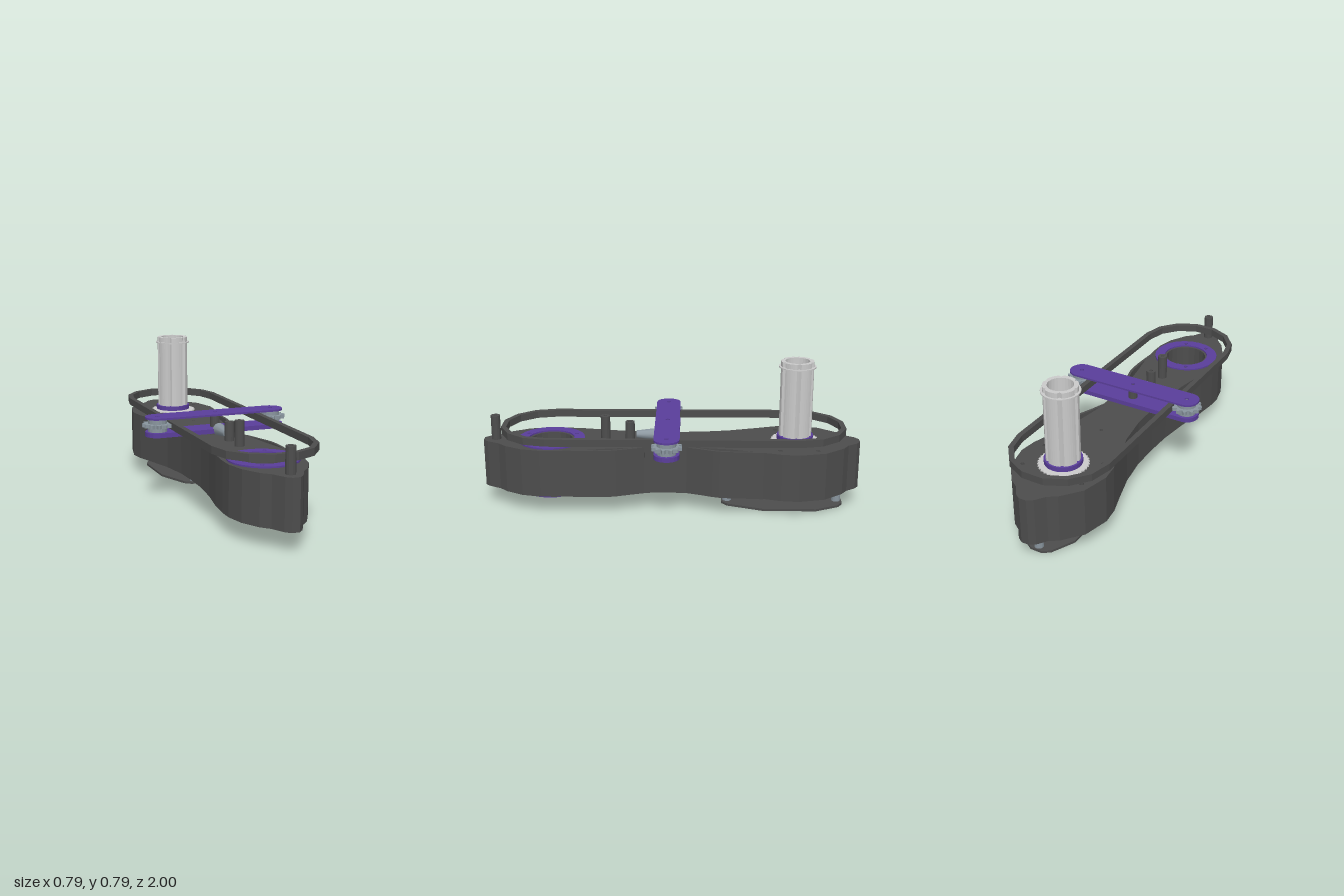
import * as THREE from 'three';

const mat = (name, color) => Object.assign(new THREE.MeshStandardMaterial({ color }), { name });

export function createModel() {
  const dark = mat('charcoal', 0x4d4d4d);
  const purple = mat('purple', 0x5a3e9b);
  const light = mat('light grey', 0xcbcbcb);
  const steel = mat('steel', 0x89959e);
  const model = new THREE.Group();
  const ZT = -0.655, ZR = 0.64, ZB = 0.02; // tube, ring and crossbar centres

  const add = (name, geo, material) => {
    const m = new THREE.Mesh(geo, material);
    m.name = name;
    model.add(m);
    return m;
  };
  const poly = pts => new THREE.Shape(pts.map(p => new THREE.Vector2(p[0], p[1])));
  const mirrored = half => poly([...half, ...half.map(p => [-p[0], p[1]]).reverse()]);
  const hole = (shape, x, z, r, n = 12) => {
    const pts = [];
    for (let i = 0; i < n; i++) {
      const a = -i / n * Math.PI * 2;
      pts.push(new THREE.Vector2(x + r * Math.cos(a), z + r * Math.sin(a)));
    }
    shape.holes.push(new THREE.Path(pts));
    return shape;
  };
  // polar outline with radius given per step
  const round = (x, z, n, rad) => poly(Array.from({ length: n }, (_, i) => {
    const a = i / n * Math.PI * 2, r = rad(i);
    return [x + r * Math.cos(a), z + r * Math.sin(a)];
  }));
  // plan outline (x, z) raised from y0 to y1
  const slab = (name, shape, y0, y1, material) => {
    const g = new THREE.ExtrudeGeometry(shape, { depth: y1 - y0, bevelEnabled: false, curveSegments: 5 });
    g.rotateX(Math.PI / 2).translate(0, y1, 0);
    return add(name, g, material);
  };
  const ring = (name, x, z, ro, ri, y0, y1, material, n = 24) =>
    slab(name, hole(round(x, z, n, () => ro), x, z, ri, n), y0, y1, material);

  // main body, waisted in plan
  const body = mirrored([[0.02, -1], [0.05, -0.98], [0.085, -0.93], [0.13, -0.9], [0.21, -0.8], [0.243, -0.66],
    [0.232, -0.57], [0.195, -0.45], [0.155, -0.31], [0.13, -0.15], [0.126, 0], [0.13, 0.15], [0.15, 0.32],
    [0.18, 0.48], [0.193, 0.6], [0.193, 0.68], [0.17, 0.78], [0.12, 0.87], [0.08, 0.91], [0.045, 0.975], [0.02, 1]]);
  hole(body, 0, ZT, 0.088, 24);
  hole(body, 0, ZR, 0.112, 20);
  const bolts = [-1, 1].flatMap(s => [[s * 0.17, -0.76], [s * 0.17, -0.565]]);
  for (const [x, z] of bolts) hole(body, x, z, 0.012, 8);
  for (const z of [-0.305, 0.22, 0.35, 0.935]) hole(body, 0, z, 0.01, 8);
  const ringBolts = [-1, 1].flatMap(s => [[s * 0.065, ZR - 0.13], [s * 0.065, ZR + 0.13]]);
  for (const [x, z] of ringBolts) hole(body, x, z, 0.01, 8);
  slab('body', body, 0.1, 0.355, dark);

  // bowed side walls with open slits behind them
  const wall = (name, pts) => {
    const curve = new THREE.CatmullRomCurve3(pts.map(p => new THREE.Vector3(p[0], 0, p[1])));
    const line = curve.getPoints(12);
    const outer = line.map(p => [p.x, p.z]);
    const inner = line.map(p => [p.x - 0.014, p.z]).reverse();
    slab(name, poly([...outer, ...inner]), 0.1, 0.356, dark);
  };
  wall('rearSideWall', [[0.21, -0.48], [0.202, -0.38], [0.192, -0.25], [0.155, -0.15], [0.13, -0.08]]);
  wall('frontSideWall', [[0.135, 0.14], [0.16, 0.22], [0.19, 0.32], [0.195, 0.43], [0.188, 0.56]]);

  // bearing rings on both faces at the front bore
  for (const [y0, y1] of [[0.355, 0.363], [0.089, 0.1]]) {
    const s = hole(round(0, ZR, 24, () => 0.178), 0, ZR, 0.122, 24);
    for (const [x, z] of ringBolts) hole(s, x, z, 0.011, 8);
    slab('boreRing', s, y0, y1, purple);
  }

  // hollow fluted tube with collars
  const flutes = round(0, ZT, 48, i => (i % 8 === 0 ? 0.076 : 0.086));
  slab('tube', hole(flutes, 0, ZT, 0.064, 24), 0.065, 0.79, light);
  ring('tubeTopFlange', 0, ZT, 0.097, 0.075, 0.757, 0.763, light);
  ring('tubeCollar', 0, ZT, 0.096, 0.075, 0.366, 0.39, purple);
  for (const [y0, y1] of [[0.355, 0.362], [0.085, 0.1]])
    slab('toothedFlange', hole(round(0, ZT, 72, i => (i % 2 ? 0.128 : 0.119)), 0, ZT, 0.075, 24), y0, y1, light);

  // endless belt
  const stadium = r => {
    const pts = [];
    for (const [z, start] of [[ZR, 0], [-0.66, Math.PI]])
      for (let i = 0; i <= 7; i++) {
        const a = start + i / 7 * Math.PI;
        pts.push([r * Math.cos(a), z + r * Math.sin(a)]);
      }
    return pts;
  };
  const belt = poly(stadium(0.263));
  belt.holes.push(new THREE.Path(stadium(0.236).reverse().map(p => new THREE.Vector2(...p))));
  slab('belt', belt, 0.403, 0.441, dark);

  // crossbar plates
  for (const [y0, y1] of [[0.365, 0.389], [0.457, 0.467]]) {
    const pts = [];
    for (const s of [1, -1])
      for (let i = 0; i <= 10; i++) {
        const a = -Math.PI / 2 + i / 10 * Math.PI;
        pts.push([s * (0.325 + 0.06 * Math.cos(a)), ZB + s * 0.065 * Math.sin(a)]);
      }
    const bar = poly(pts);
    for (const x of [-0.32, 0, 0.32]) hole(bar, x, ZB, 0.012, 10);
    slab('crossbarPlate', bar, y0, y1, purple);
  }

  // idler sprockets at the crossbar ends
  for (const x of [-0.32, 0.32]) {
    ring('sprocketHubLower', x, ZB, 0.05, 0.013, 0.389, 0.413, steel, 18);
    ring('sprocketHubUpper', x, ZB, 0.05, 0.013, 0.432, 0.457, steel, 18);
    const teeth = round(x, ZB, 48, i => [0.063, 0.078, 0.08, 0.065][i % 4]);
    slab('sprocket', hole(teeth, x, ZB, 0.013, 10), 0.413, 0.432, steel);
  }

  // pivot through the body, with its nut underneath
  ring('pivotPost', 0, ZB, 0.025, 0.01, 0.355, 0.457, dark, 16);
  ring('pivotWasher', 0, ZB, 0.05, 0.02, 0.355, 0.366, dark, 16);
  ring('pivotNut', 0, 0.03, 0.036, 0.012, 0.085, 0.1, dark, 16);
  ring('pivotEnd', 0, 0.03, 0.022, 0.012, 0.075, 0.085, dark, 16);

  // upright pins
  for (const [z, top] of [[0.22, 0.455], [0.35, 0.486], [0.935, 0.486]])
    ring('pin', 0, z, 0.025, 0.01, 0.355, top, dark, 16);

  // small tapered wedge ahead of the crossbar
  const wedge = new THREE.CylinderGeometry(0.034, 0.02, 0.11, 10);
  wedge.rotateX(-Math.PI / 2).translate(0, 0.385, 0.13);
  add('taperedRoller', wedge, steel);

  // lower guard plate on two standoffs
  const guard = mirrored([[0.03, -0.92], [0.07, -0.895], [0.13, -0.77], [0.13, -0.49], [0.06, -0.3], [0.025, -0.27]]);
  for (const z of [-0.3, -0.89]) {
    hole(guard, 0, z, 0.01, 8);
    ring('standoff', 0, z, 0.024, 0.01, 0.012, 0.1, steel, 16);
  }
  slab('guardPlate', guard, 0, 0.012, dark);

  return model;
}
